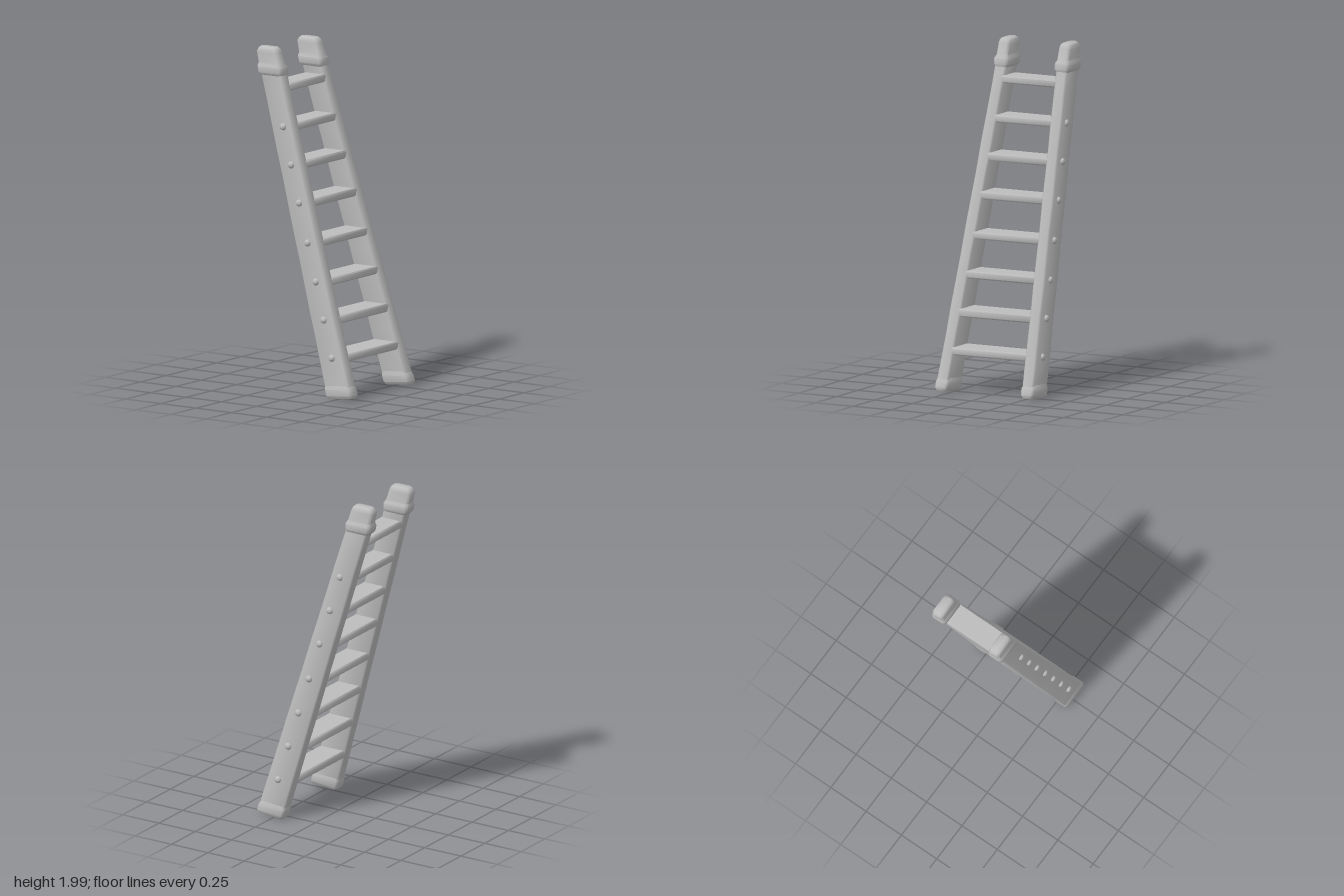
import * as THREE from 'three';
import { toCreasedNormals } from 'three/addons/utils/BufferGeometryUtils.js';

const wood = new THREE.MeshStandardMaterial({ color: 0xbcbcbc });
wood.name = 'plainWood';

// Lean of the ladder: centre line and size of a rail at height y
const railX = (y) => 0.279 - 0.2965 * y;
const railZ = (y) => 0.285 - 0.0455 * y;
const railW = (y) => 0.178 - 0.018 * y;

// Solid through chamfered rectangles: { x, y, z, w, d, c: chamfer, tilt: rise along x }
function loft(sections) {
  const pos = [], idx = [], n = 8;
  for (const { x, y, z, w, d, c = 0.012, tilt = 0 } of sections) {
    const a = w / 2, b = d / 2;
    const ring = [[a, b - c], [a - c, b], [c - a, b], [-a, b - c], [-a, c - b], [c - a, -b], [a - c, -b], [a, c - b]];
    for (const [u, v] of ring) pos.push(x + u, y + tilt * u, z + v);
  }
  for (let s = 0; s < sections.length - 1; s++) {
    for (let i = 0; i < n; i++) {
      const a = s * n + i, b = s * n + (i + 1) % n;
      idx.push(a, a + n, b, b, a + n, b + n);
    }
  }
  const top = (sections.length - 1) * n;
  for (let i = 1; i < n - 1; i++) {
    idx.push(0, i, i + 1, top, top + i + 1, top + i);
  }
  const g = new THREE.BufferGeometry();
  g.setAttribute('position', new THREE.Float32BufferAttribute(pos, 3));
  g.setIndex(idx);
  return toCreasedNormals(g, 0.85);
}

export function createModel() {
  const ladder = new THREE.Group();
  ladder.name = 'ladder';
  const add = (parent, name, geometry) => {
    const m = new THREE.Mesh(geometry, wood);
    m.name = name;
    parent.add(m);
    return m;
  };
  const rungHeights = [0.245, 0.46, 0.675, 0.895, 1.12, 1.335, 1.55, 1.77];

  for (const side of [1, -1]) {
    const rail = new THREE.Group();
    rail.name = side > 0 ? 'frontRail' : 'backRail';
    ladder.add(rail);
    const at = (y, dw, d, c, tilt) => ({ x: railX(y), y, z: side * railZ(y), w: railW(y) + dw, d, c, tilt });

    // Long leaning beam, slightly uneven in thickness
    const beam = [];
    for (let i = 0; i <= 12; i++) {
      const y = 0.03 + i * 0.153;
      beam.push(at(y, 0, 0.074 + 0.003 * Math.sin(i * 2.1 + side), 0.01));
    }
    add(rail, 'beam', loft(beam));

    // Foot
    add(rail, 'foot', loft([
      at(0.013, -0.012, 0.066, 0.014, 0.09),
      at(0.03, 0.004, 0.084, 0.012, 0.09),
      at(0.065, 0.004, 0.086, 0.012, 0.06),
      at(0.09, -0.006, 0.074, 0.012, 0.06),
    ]));

    // Cap with a swollen collar
    const cap = (x, y, w, d, c) => ({ x, y, z: side * 0.2, w, d, c });
    add(rail, 'cap', loft([
      cap(-0.27, 1.835, 0.15, 0.076, 0.012),
      cap(-0.275, 1.85, 0.166, 0.094, 0.014),
      cap(-0.28, 1.885, 0.17, 0.094, 0.014),
      cap(-0.285, 1.905, 0.152, 0.074, 0.012),
      cap(-0.302, 1.97, 0.146, 0.074, 0.014),
      cap(-0.302, 1.99, 0.13, 0.066, 0.016),
      cap(-0.302, 2.0, 0.108, 0.046, 0.016),
    ]));

    // Rounded pegs on the outer face, one per lower rung
    for (const y of rungHeights.slice(0, 7)) {
      const peg = add(rail, 'peg', new THREE.SphereGeometry(0.021, 12, 8));
      peg.position.set(railX(y) + 0.012, y, side * (railZ(y) + 0.037));
      peg.scale.z = 0.8;
    }
  }

  // Flat treads spanning the rails
  rungHeights.forEach((y, i) => {
    const length = 2 * railZ(y) - 0.04, w = railW(y) - 0.006;
    const slice = (dy, dw) => ({ x: railX(y), y: y + dy, z: 0, w: w + dw, d: length, c: 0.004 });
    const h = 0.023 + 0.001 * Math.sin(i * 1.7);
    add(ladder, 'rung', loft([slice(-h, -0.014), slice(-h + 0.008, 0), slice(h - 0.008, 0), slice(h, -0.014)]));
  });
  return ladder;
}
